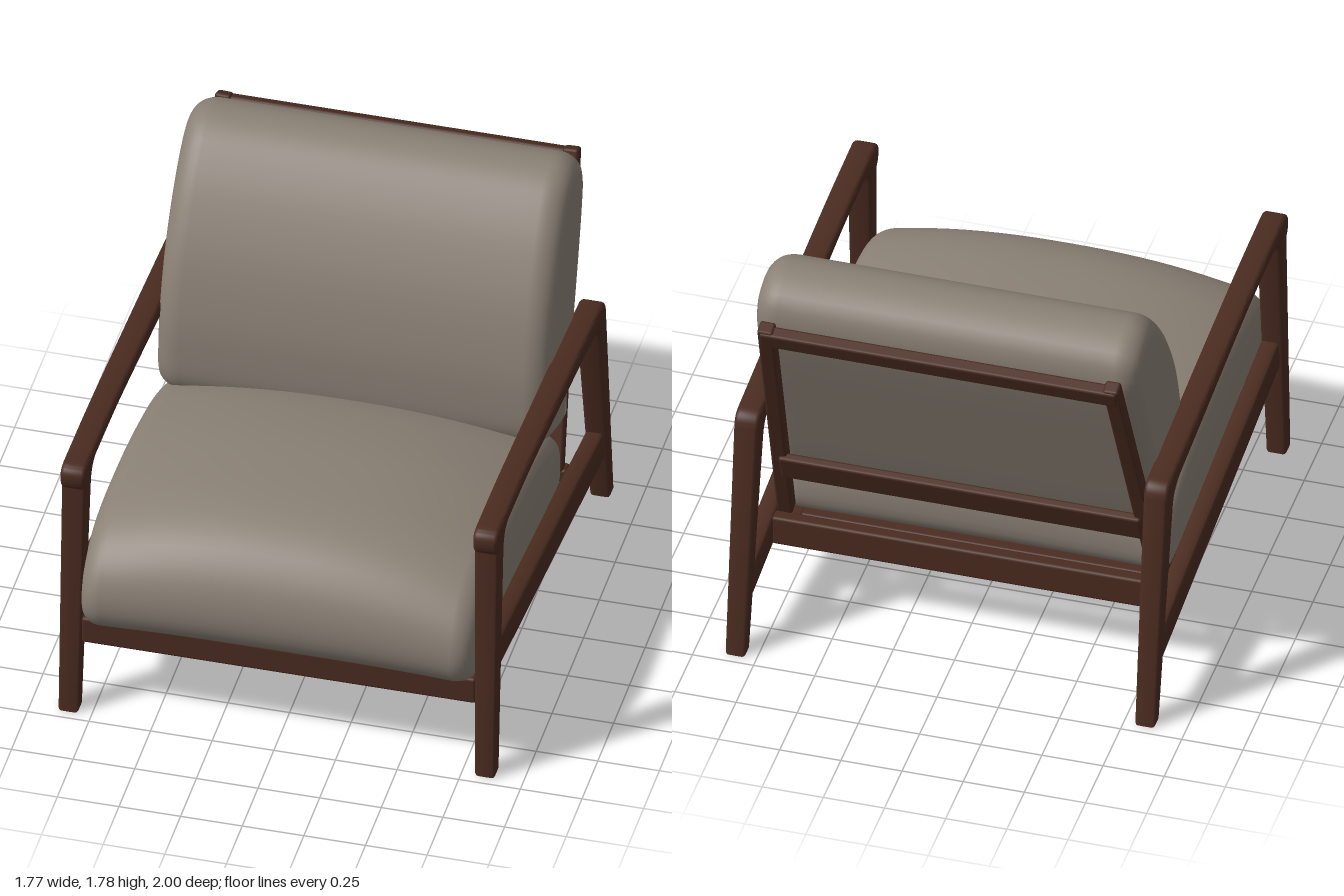
import * as THREE from 'three';
import { toCreasedNormals } from 'three/addons/utils/BufferGeometryUtils.js';
import { RoundedBoxGeometry } from 'three/addons/geometries/RoundedBoxGeometry.js';

const wood = new THREE.MeshStandardMaterial({ color: 0x4a2b20 });
wood.name = 'dark wood';
const fabric = new THREE.MeshStandardMaterial({ color: 0x8a8075 });
fabric.name = 'taupe fabric';

const vectors = (points) => points.map(([z, y]) => new THREE.Vector2(z, y));

function add(parent, name, geometry, material) {
  const mesh = new THREE.Mesh(geometry, material);
  mesh.name = name;
  parent.add(mesh);
  return mesh;
}

// Softly rounded wooden bar
function bar(parent, name, [w, h, d], [x, y, z]) {
  const mesh = add(parent, name, new RoundedBoxGeometry(w, h, d, 2, 0.012), wood);
  mesh.position.set(x, y, z);
  return mesh;
}

// Side outline in (z, y), extruded across x with eased edges, centred on x = 0
function sideBoard(shape, thickness) {
  const bevel = 0.016;
  const geo = new THREE.ExtrudeGeometry(shape, {
    depth: thickness - 2 * bevel, bevelThickness: bevel, bevelSize: bevel,
    bevelOffset: -bevel, bevelSegments: 3, curveSegments: 10,
  });
  geo.translate(0, 0, bevel - thickness / 2);
  geo.rotateY(-Math.PI / 2);
  return geo;
}

// Cushion lofted across x: a closed (z, y) profile, rounded ends, and a crown on top
function cushion(profile, halfWidth, radius, crown, taper) {
  const curve = new THREE.SplineCurve(vectors([...profile, profile[0]]));
  const n = 96;
  const ring = [];
  const centre = new THREE.Vector2();
  for (let j = 0; j < n; j++) {
    const p = curve.getPointAt(j / n);
    const t = curve.getTangentAt(j === 0 ? 0.0005 : j / n);
    ring.push({ p, inward: new THREE.Vector2(-t.y, t.x) });
    centre.addScaledVector(p, 1 / n);
  }
  const ys = ring.map((r) => r.p.y);
  const low = Math.min(...ys), high = Math.max(...ys);

  // Half of the stations, from the outer cap to the middle
  const half = [{ x: halfWidth, pole: true }];
  for (let k = 8; k >= 0; k--) {
    const a = (k / 8) * Math.PI / 2;
    half.push({ x: halfWidth - radius * (1 - Math.sin(a)), inset: 0.8 * radius * (1 - Math.cos(a)) });
  }
  // The last ring at the cap is the fully inset one
  half.forEach((s, i) => { if (i > 0) s.inset = 0.8 * radius * (1 - Math.cos(((9 - i) / 8) * Math.PI / 2)); });
  for (let k = 9; k > 0; k--) half.push({ x: (halfWidth - radius) * k / 10, inset: 0 });
  const stations = [
    ...half.map((s) => ({ ...s, x: -s.x })), { x: 0, inset: 0 }, ...half.slice().reverse(),
  ];

  const positions = [], index = [];
  stations.forEach((s, i) => {
    const drop = crown * Math.pow(Math.abs(s.x) / halfWidth, 2.3);
    for (let j = 0; j < n; j++) {
      const p = s.pole ? centre.clone() : ring[j].p.clone().addScaledVector(ring[j].inward, s.inset);
      const f = (p.y - low) / (high - low);
      positions.push(s.x * (1 - taper * f * f), p.y - drop * f, p.x);
      if (i + 1 < stations.length) {
        const a = i * n + j, b = i * n + (j + 1) % n;
        index.push(a, a + n, b, b, a + n, b + n);
      }
    }
  });
  const geo = new THREE.BufferGeometry();
  geo.setAttribute('position', new THREE.Float32BufferAttribute(positions, 3));
  geo.setIndex(index);
  geo.computeVertexNormals();
  return geo;
}

// Front leg, armrest and back leg in one continuous outline
function armFrameGeometry() {
  const s = new THREE.Shape();
  s.moveTo(0.96, 0);
  s.lineTo(0.905, 1.07);
  s.quadraticCurveTo(0.93, 1.09, 0.93, 1.13);
  s.quadraticCurveTo(0.93, 1.18, 0.87, 1.18);
  s.splineThru(vectors([[0.5, 1.167], [0, 1.132], [-0.4, 1.1], [-0.75, 1.07]]));
  s.quadraticCurveTo(-0.8, 1.065, -0.81, 1.01);
  s.lineTo(-0.96, 0);
  s.lineTo(-0.895, 0);
  s.lineTo(-0.715, 0.93);
  s.quadraticCurveTo(-0.7, 0.99, -0.64, 1.0);
  s.splineThru(vectors([[-0.3, 1.037], [0, 1.07], [0.4, 1.108], [0.73, 1.12]]));
  s.quadraticCurveTo(0.8, 1.12, 0.81, 1.05);
  s.lineTo(0.89, 0);
  s.closePath();
  const geo = sideBoard(s, 0.1);
  // Legs thin towards the floor: the front one on its inner face, the back one on both
  const pos = geo.attributes.position;
  for (let i = 0; i < pos.count; i++) {
    const k = Math.min(1, 0.84 + 0.16 * pos.getY(i));
    const fixed = pos.getZ(i) > 0 ? 0.05 : 0;
    pos.setX(i, fixed + (pos.getX(i) - fixed) * k);
  }
  return toCreasedNormals(geo, 0.6);
}

// Sloping rail between the legs
function sideRailGeometry() {
  const s = new THREE.Shape();
  s.moveTo(0.9, 0.585);
  s.lineTo(-0.48, 0.42);
  s.quadraticCurveTo(-0.66, 0.385, -0.86, 0.365);
  s.lineTo(-0.88, 0.23);
  s.lineTo(-0.84, 0.23);
  s.lineTo(0.87, 0.45);
  s.lineTo(0.91, 0.455);
  s.closePath();
  return toCreasedNormals(sideBoard(s, 0.075), 0.6);
}

export function createModel() {
  const chair = new THREE.Group();
  chair.name = 'loungeChair';

  // Mirrored side frames
  const armGeo = armFrameGeometry();
  const railGeo = sideRailGeometry();
  for (const [side, label] of [[1, 'left'], [-1, 'right']]) {
    const frame = new THREE.Group();
    frame.name = label + 'SideFrame';
    frame.scale.x = side;
    chair.add(frame);
    add(frame, label + 'ArmAndLegs', armGeo, wood).position.x = 0.837;
    add(frame, label + 'SideRail', railGeo, wood).position.x = 0.832;
  }

  // Cross rails between the sides
  bar(chair, 'frontRail', [1.6, 0.12, 0.055], [0, 0.39, 0.902]);
  bar(chair, 'rearRail', [1.6, 0.13, 0.06], [0, 0.34, -0.54]);

  // Tilted frame beneath the seat cushion
  const seatFrame = new THREE.Group();
  seatFrame.name = 'seatFrame';
  seatFrame.position.set(0, 0.385, 0.18);
  seatFrame.rotation.x = -0.11;
  chair.add(seatFrame);
  for (const side of [1, -1]) bar(seatFrame, 'seatRunner', [0.05, 0.055, 1.4], [side * 0.735, 0, 0]);
  for (const z of [0.62, -0.59]) bar(seatFrame, 'seatSlat', [1.46, 0.05, 0.06], [0, 0, z]);

  // Reclined back frame, with posts that flare outwards towards the seat
  const backFrame = new THREE.Group();
  backFrame.name = 'backFrame';
  backFrame.position.set(0, 0.42, -0.5);
  backFrame.rotation.x = -0.364;
  chair.add(backFrame);
  for (const side of [1, -1]) {
    const post = bar(backFrame, 'backPost', [0.065, 1.33, 0.06], [side * 0.732, 0.658, 0]);
    post.rotation.z = side * 0.04;
  }
  bar(backFrame, 'topRail', [1.46, 0.085, 0.055], [0, 1.272, -0.01]);
  bar(backFrame, 'lowerBackRail', [1.48, 0.135, 0.04], [0, 0.35, -0.026]);

  // Cushions
  add(chair, 'seatCushion', cushion([
    [-0.42, 0.37], [0.2, 0.415], [0.87, 0.452], [0.965, 0.485], [1.0, 0.57], [0.995, 0.68],
    [0.95, 0.79], [0.85, 0.89], [0.7, 0.945], [0.5, 0.957], [0.2, 0.935], [-0.1, 0.87],
    [-0.3, 0.79], [-0.43, 0.7], [-0.485, 0.6], [-0.485, 0.44],
  ], 0.795, 0.085, 0.115, 0), fabric);
  add(chair, 'backCushion', cushion([
    [-0.5, 0.628], [-0.4, 0.655], [-0.27, 0.71], [-0.218, 0.78], [-0.21, 0.9], [-0.23, 1.1],
    [-0.3, 1.34], [-0.42, 1.56], [-0.55, 1.71], [-0.65, 1.768], [-0.75, 1.773], [-0.85, 1.725],
    [-0.89, 1.64], [-0.872, 1.5], [-0.715, 1.07], [-0.57, 0.7],
  ], 0.798, 0.1, 0, 0.02), fabric);

  return chair;
}
